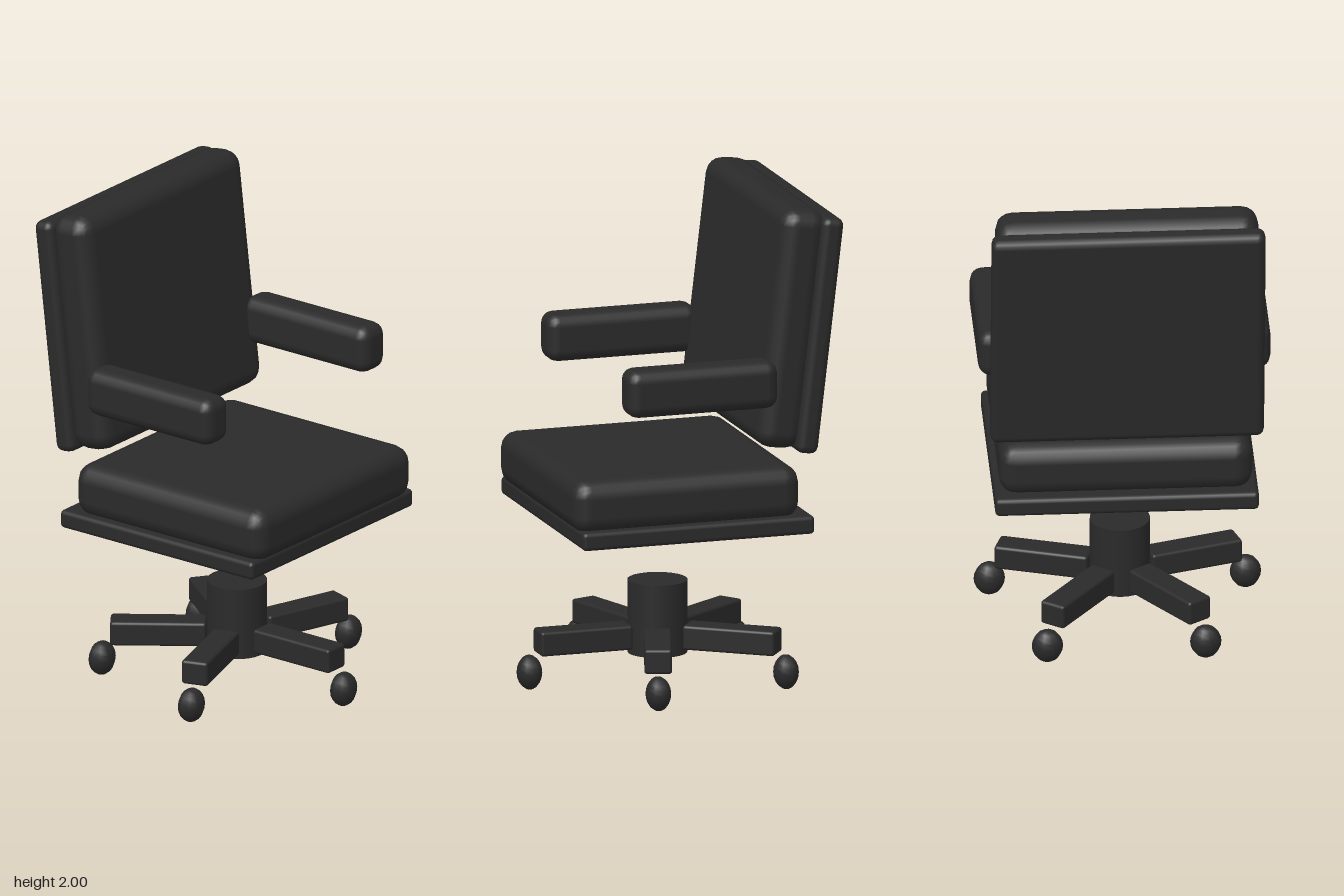
import * as THREE from 'three';
import { RoundedBoxGeometry } from 'three/addons/geometries/RoundedBoxGeometry.js';

export function createModel() {
  const chair = new THREE.Group();
  chair.name = 'officeChair';
  const black = new THREE.MeshStandardMaterial({ color: 0x2a2a2a });
  black.name = 'charcoal black';

  const add = (parent, name, geometry, x, y, z) => {
    const mesh = new THREE.Mesh(geometry, black);
    mesh.name = name;
    mesh.position.set(x, y, z);
    parent.add(mesh);
    return mesh;
  };
  const softBox = (w, h, d, r, segments = 2) => new RoundedBoxGeometry(w, h, d, segments, r);

  // Seat: thin plate with a plump cushion sunk slightly into it
  add(chair, 'seatPlate', softBox(1.05, 0.075, 0.97, 0.018), 0, 0.7125, 0.01);
  add(chair, 'seatCushion', softBox(1.01, 0.22, 0.95, 0.072), 0, 0.84, 0.045);

  // Backrest: leaning cushion and rear panel
  const backrest = new THREE.Group();
  backrest.name = 'backrest';
  backrest.position.set(0, 1.51, -0.39);
  backrest.rotation.x = -0.118;
  chair.add(backrest);
  add(backrest, 'backCushion', softBox(1.048, 0.976, 0.19, 0.07), 0, 0, 0);
  add(backrest, 'backPanel', softBox(1.09, 0.962, 0.09, 0.032), 0, -0.013, -0.108);

  // Armrests
  for (const side of [-1, 1]) {
    add(chair, side > 0 ? 'leftArmrest' : 'rightArmrest',
      softBox(0.148, 0.195, 0.63, 0.05), side * 0.508, 1.307, 0.005);
  }

  // Base: hub with five spokes and a caster under each tip
  const base = new THREE.Group();
  base.name = 'base';
  base.position.z = 0.012;
  chair.add(base);
  add(base, 'hub', new THREE.CylinderGeometry(0.12, 0.12, 0.295, 24), 0, 0.2625, 0);
  const spokeGeometry = softBox(0.11, 0.1, 0.383, 0.012);
  const casterGeometry = new THREE.SphereGeometry(1, 10, 10).scale(0.0625, 0.07, 0.05);
  for (let i = 0; i < 5; i++) {
    const angle = (i * Math.PI * 2) / 5;
    const sx = Math.sin(angle), cz = Math.cos(angle);
    const spoke = add(base, 'spoke', spokeGeometry, sx * 0.3115, 0.19, cz * 0.3115);
    spoke.rotation.y = angle;
    add(base, 'caster', casterGeometry, sx * 0.536, 0.07, cz * 0.536);
  }

  return chair;
}
